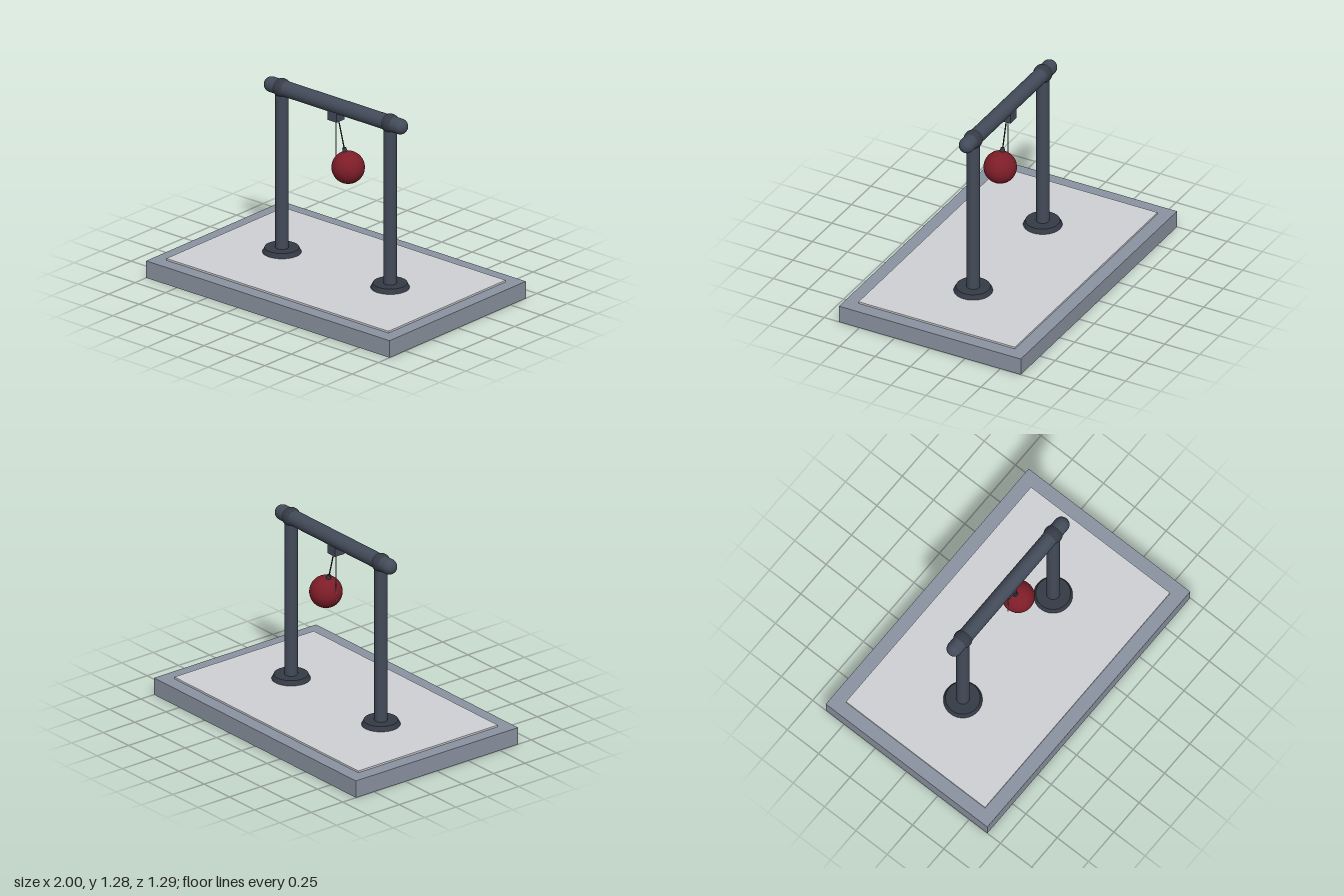
import * as THREE from 'three';

const material = (color) => new THREE.MeshStandardMaterial({ color });

export function createModel() {
  const model = new THREE.Group();
  model.name = 'pendulumStand';

  const baseMat = material(0x8a93a0);
  const plateMat = material(0xcfd1d5);
  const frameMat = material(0x434b59);
  const darkMat = material(0x353b46);
  const ballMat = material(0x7d1d28);
  const cordMat = material(0x22252b);
  const lineMat = material(0x7c828c);

  function add(name, geometry, mat, x, y, z = 0, parent = model) {
    const mesh = new THREE.Mesh(geometry, mat);
    mesh.name = name;
    mesh.position.set(x, y, z);
    parent.add(mesh);
    return mesh;
  }

  // Base slab and thin inset plate
  add('base', new THREE.BoxGeometry(2, 0.114, 1.29), baseMat, 0, 0.057);
  add('topPlate', new THREE.BoxGeometry(1.824, 0.012, 1.11), plateMat, 0, 0.12);

  // Posts with tapered feet and ball joints
  const barY = 1.225;
  for (const [side, s] of [['left', 1], ['right', -1]]) {
    const x = s * 0.445;
    add(side + 'Foot', new THREE.CylinderGeometry(0.108, 0.122, 0.03, 32), darkMat, x, 0.141);
    add(side + 'Post', new THREE.CylinderGeometry(0.042, 0.042, barY - 0.126, 32), frameMat, x, (barY + 0.126) / 2);
    add(side + 'Joint', new THREE.SphereGeometry(0.06, 32, 20), darkMat, x, barY);
  }

  // Round-ended crossbar
  const bar = add('crossbar', new THREE.CapsuleGeometry(0.05, 1.054, 10, 32), frameMat, 0, barY);
  bar.rotation.z = Math.PI / 2;

  // Pivot block and vertical reference line
  add('pivotBlock', new THREE.BoxGeometry(0.076, 0.07, 0.076), frameMat, 0, 1.165);
  add('plumbLine', new THREE.CylinderGeometry(0.002, 0.002, 0.36, 8), lineMat, 0, 0.96);

  // Swung pendulum, built hanging straight down from its pivot
  const pendulum = new THREE.Group();
  pendulum.name = 'pendulum';
  pendulum.position.set(0, 1.21, 0);
  pendulum.rotation.z = THREE.MathUtils.degToRad(15);
  model.add(pendulum);
  const length = 0.386;
  add('cord', new THREE.CylinderGeometry(0.004, 0.004, length - 0.1, 10), cordMat, 0, -(length - 0.1) / 2, 0, pendulum);
  add('cordFitting', new THREE.CylinderGeometry(0.012, 0.017, 0.03, 16), darkMat, 0, -length + 0.113, 0, pendulum);
  add('ball', new THREE.SphereGeometry(0.104, 40, 28), ballMat, 0, -length, 0, pendulum);

  return model;
}
